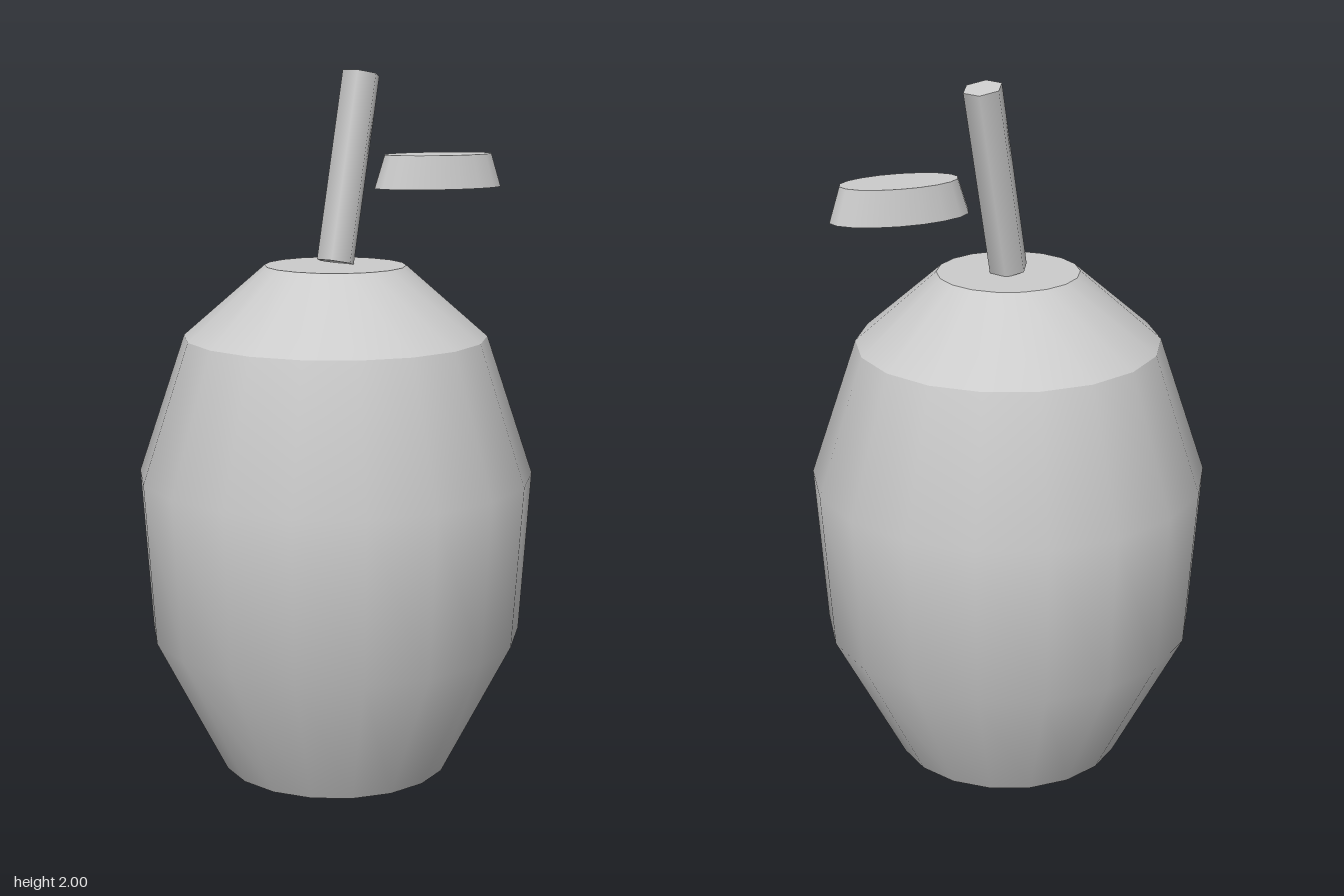
import * as THREE from 'three';

export function createModel() {
  const model = new THREE.Group();
  const material = new THREE.MeshStandardMaterial({ color: 0xcccccc });

  const add = (name, geometry, parent = model) => {
    const mesh = new THREE.Mesh(geometry, material);
    mesh.name = name;
    parent.add(mesh);
    return mesh;
  };

  // Fruit body: each band is its own lathe so that its rims stay sharp
  const body = new THREE.Group();
  body.name = 'fruitBody';
  model.add(body);
  const bands = {
    base: [[0, 0], [0.33, 0]],
    side: [[0.33, 0], [0.533, 0.4], [0.563, 0.865], [0.43, 1.26]],
    shoulder: [[0.43, 1.26], [0.2, 1.46]],
    crown: [[0.2, 1.46], [0, 1.46]],
  };
  for (const [name, points] of Object.entries(bands)) {
    const profile = points.map(([r, y]) => new THREE.Vector2(r, y));
    add(name, new THREE.LatheGeometry(profile, 18, Math.PI / 2), body);
  }

  // Six-sided stem leaning to the left and back
  const foot = new THREE.Vector3(0, 1.468, 0);
  const tip = new THREE.Vector3(0.098, 1.988, -0.067);
  const axis = tip.clone().sub(foot);
  const stem = add('stem', new THREE.CylinderGeometry(0.055, 0.055, axis.length(), 6, 1, false, Math.PI / 2));
  stem.position.copy(foot).lerp(tip, 0.5);
  stem.quaternion.setFromUnitVectors(new THREE.Vector3(0, 1, 0), axis.normalize());

  // Leaf: a tapered disc squashed to an oval beside the stem
  const leaf = add('leaf', new THREE.CylinderGeometry(0.163, 0.193, 0.095, 18, 1, false, Math.PI / 2));
  leaf.scale.z = 0.51;
  leaf.position.set(0.333, 1.712, -0.068);

  return model;
}
